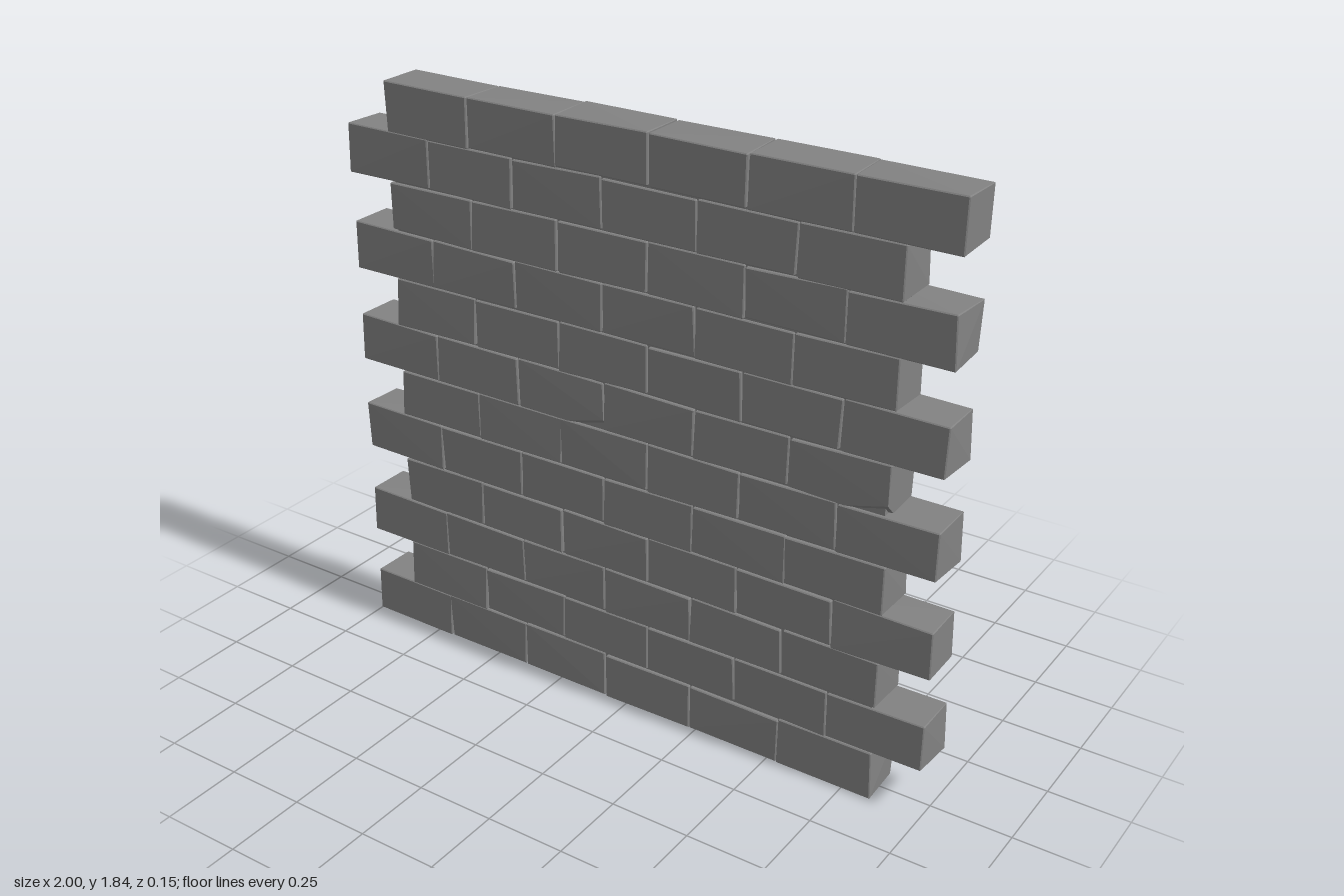
import * as THREE from 'three';
import { ConvexGeometry } from 'three/addons/geometries/ConvexGeometry.js';

const ROWS = 12, PER_ROW = 6;
const W = 0.3065, H = 0.1527, D = 0.152; // brick pitch and depth
const BASE = 0.002;

// Broken corners: row, brick, side of the corner in x, y, z, then the break's width
const CHIPS = [
  [6, 2, 1, -1, 1, 0.13], [6, 5, 1, -1, 1, 0.13],
  [7, 3, -1, 1, -1, 0.05], [4, 2, 1, 1, -1, 0.05], [3, 2, -1, 1, -1, 0.05],
  [9, 5, -1, -1, -1, 0.06], [3, 3, 1, -1, -1, 0.08],
];

function seeded(seed) {
  let s = seed;
  return () => (s = (s * 16807) % 2147483647) / 2147483647;
}

// Crooked block with worn edges, tighter at the back, and an optional broken corner
function brickGeometry(rand, chip) {
  const points = [];
  const signs = [-1, 1];
  for (const sx of signs) for (const sy of signs) for (const sz of signs) {
    const x = W / 2 + 0.002 - rand() * 0.007;
    const y = H / 2 + 0.002 - rand() * 0.007;
    const z = D / 2 - rand() * 0.007;
    const bevel = sz > 0 ? 0.003 : 0.0015;
    const add = (dx, dy, dz) =>
      points.push(new THREE.Vector3(sx * (x - dx), sy * (y - dy), sz * (z - dz)));
    if (chip && chip[2] === sx && chip[3] === sy && chip[4] === sz) {
      add(chip[5], 0, 0);
      add(0, 0.035, 0);
      add(0, 0, 0.035);
    } else {
      add(bevel, bevel, 0);
      add(bevel, 0, bevel);
      add(0, bevel, bevel);
    }
  }
  return new ConvexGeometry(points);
}

export function createModel() {
  const wall = new THREE.Group();
  wall.name = 'brickWall';
  const material = new THREE.MeshStandardMaterial({ color: 0x828282, flatShading: true });
  const rand = seeded(4217);

  // Courses alternate by half a brick, leaving toothed ends
  for (let row = 0; row < ROWS; row++) {
    const course = new THREE.Group();
    course.name = `course${row + 1}`;
    const shift = row % 2 ? W / 4 : -W / 4;
    for (let i = 0; i < PER_ROW; i++) {
      const chip = CHIPS.find((c) => c[0] === row && c[1] === i);
      const brick = new THREE.Mesh(brickGeometry(rand, chip), material);
      brick.name = 'brick';
      brick.position.set((i - (PER_ROW - 1) / 2) * W + shift, BASE + (row + 0.5) * H, 0);
      course.add(brick);
    }
    wall.add(course);
  }

  // Mortar closing the joints, nearly flush at the back
  const mortar = new THREE.Mesh(
    new THREE.BoxGeometry(PER_ROW * W - W / 2 - 0.03, ROWS * H - 0.03, 0.132), material);
  mortar.name = 'mortar';
  mortar.position.set(0, BASE + ROWS * H / 2, -0.003);
  wall.add(mortar);

  return wall;
}
